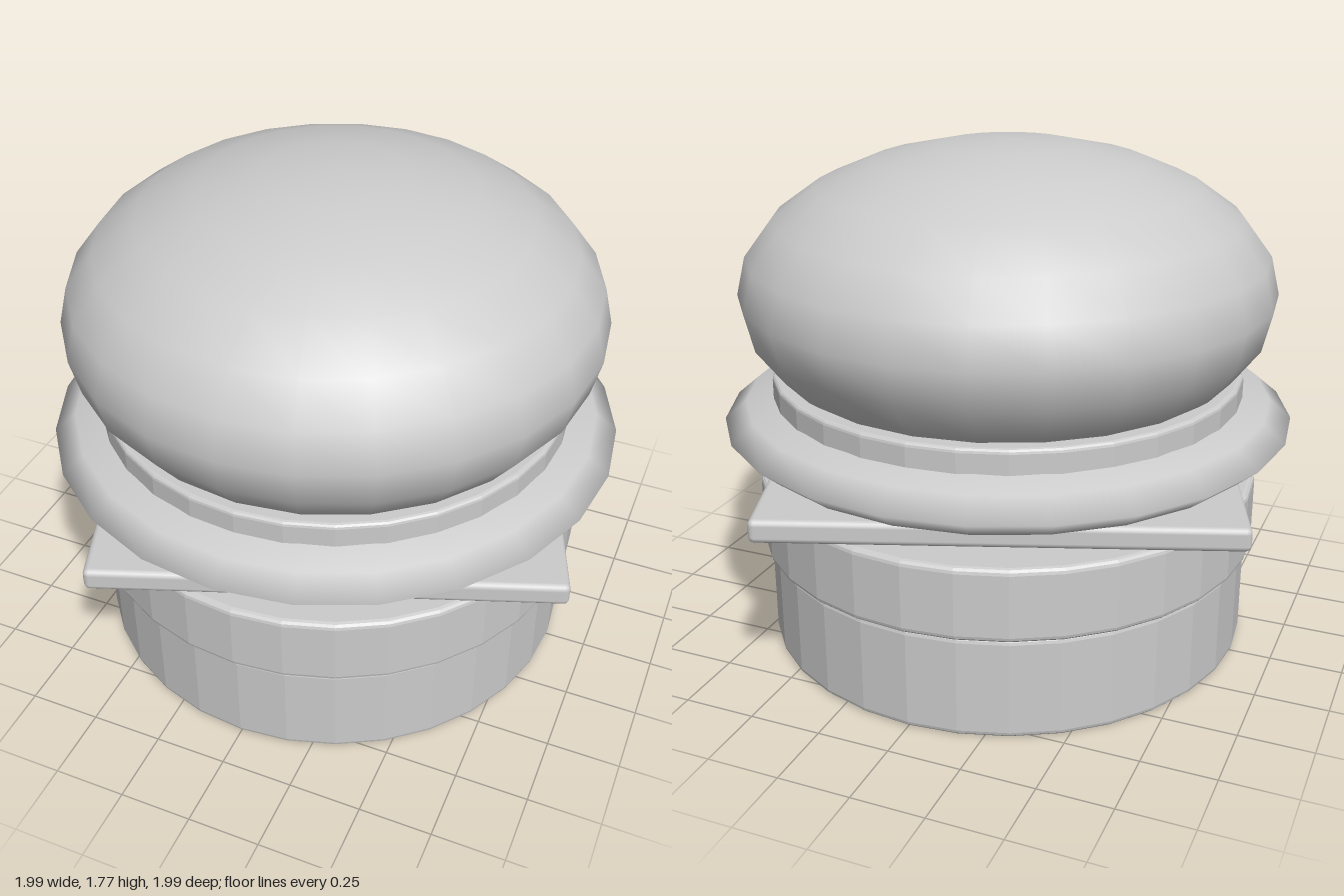
import * as THREE from 'three';
import { RoundedBoxGeometry } from 'three/addons/geometries/RoundedBoxGeometry.js';

export function createModel() {
  const group = new THREE.Group();
  const grey = new THREE.MeshStandardMaterial({ color: 0xcccccc });
  grey.name = 'light grey';
  // same colour, faceted for the cylindrical layers
  const facetedGrey = grey.clone();
  facetedGrey.name = 'light grey faceted';
  facetedGrey.flatShading = true;

  const add = (name, geometry, material, y) => {
    const mesh = new THREE.Mesh(geometry, material);
    mesh.name = name;
    mesh.position.y = y;
    group.add(mesh);
    return mesh;
  };

  // 32-sided disc with a small rounded rim
  const disc = (name, radius, bottom, top, bevel = 0.02) => {
    const points = [new THREE.Vector2(0, 0)];
    const h = top - bottom;
    for (const [cy, start] of [[bevel, -Math.PI / 2], [h - bevel, 0]]) {
      for (let i = 0; i <= 3; i++) {
        const a = start + (i / 3) * Math.PI / 2;
        points.push(new THREE.Vector2(radius - bevel + bevel * Math.cos(a), cy + bevel * Math.sin(a)));
      }
    }
    points.push(new THREE.Vector2(0, h));
    add(name, new THREE.LatheGeometry(points, 32), facetedGrey, bottom);
  };

  // flattened ball
  const ball = (name, radius, height, y, rings) => {
    const geometry = new THREE.SphereGeometry(radius, 24, rings);
    geometry.scale(1, height / radius, 1);
    add(name, geometry, grey, y);
  };

  disc('bottomBun', 0.86, 0, 0.36);
  disc('patty', 0.885, 0.36, 0.615);

  // square slice turned so that its corners stick out
  const cheese = add('cheese', new RoundedBoxGeometry(1.562, 0.08, 1.562, 2, 0.02), grey, 0.675);
  cheese.rotation.y = THREE.MathUtils.degToRad(20);

  ball('lettuce', 0.996, 0.168, 0.815, 8);
  disc('tomato', 0.825, 0.82, 0.985, 0.015);
  ball('topBun', 0.926, 0.507, 1.26, 12);

  return group;
}
